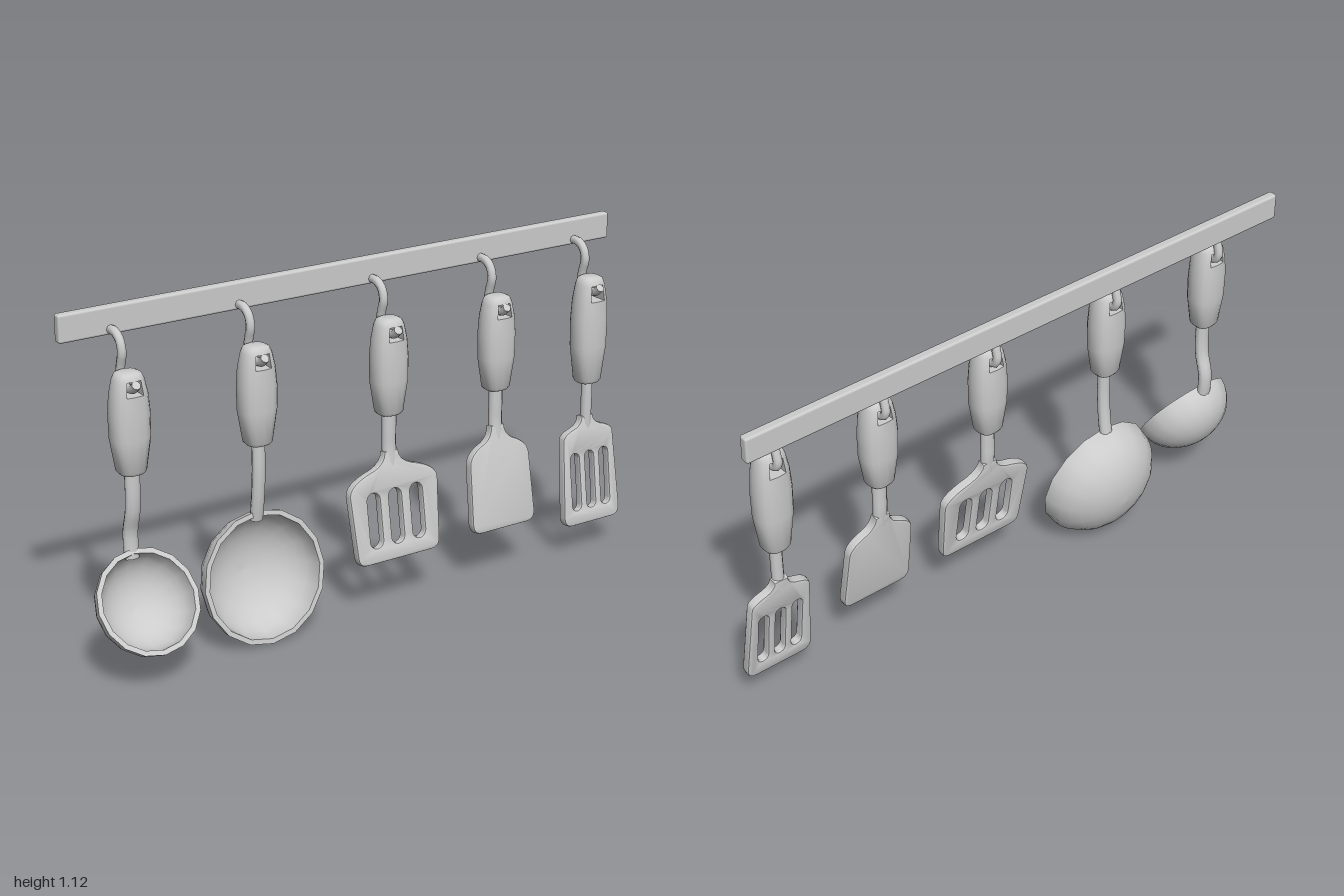
import * as THREE from 'three';
import { RoundedBoxGeometry } from 'three/addons/geometries/RoundedBoxGeometry.js';
import { toCreasedNormals } from 'three/addons/utils/BufferGeometryUtils.js';

const material = new THREE.MeshStandardMaterial({ color: 0xcccccc });
const HANDLE_TOP = 0.947, HANDLE_Z = -0.024;

function part(name, geometry, parent) {
  const mesh = new THREE.Mesh(geometry, material);
  mesh.name = name;
  parent.add(mesh);
  return mesh;
}

// smooth curve in the x = 0 plane from [y, z] pairs
const sideCurve = (pts) => new THREE.CatmullRomCurve3(pts.map(([y, z]) => new THREE.Vector3(0, y, z)));

// grip lofted from rounded sections, with a hanging hole through the top
function handleGeometry(bottom) {
  const N = 16, HOLE_ROW = 4;
  const rows = [ // height fraction, half width, half depth
    [0, 0.036, 0.033], [0.03, 0.044, 0.039], [0.35, 0.06, 0.047], [0.6, 0.061, 0.048],
    [0.785, 0.056, 0.046], [0.93, 0.046, 0.041], [0.985, 0.038, 0.035], [1, 0.028, 0.026],
  ];
  const pos = [], index = [];
  const power = (v) => Math.sign(v) * Math.abs(v) ** 0.75;
  const yAt = (t) => bottom + t * (HANDLE_TOP - bottom);
  for (const [t, w, d] of rows)
    for (let k = 0; k < N; k++) {
      const a = (k / N) * Math.PI * 2;
      pos.push(w * power(Math.cos(a)), yAt(t), HANDLE_Z + d * power(Math.sin(a)));
    }
  const id = (r, k) => r * N + (k % N);
  const quad = (a, b, c, d) => index.push(a, b, c, a, c, d);
  for (let r = 0; r < rows.length - 1; r++)
    for (let k = 0; k < N; k++) {
      if (r === HOLE_ROW && [3, 4, 11, 12].includes(k)) continue;
      quad(id(r, k), id(r + 1, k), id(r + 1, k + 1), id(r, k + 1));
    }
  // tunnel walls
  const loop = [[4, 3], [4, 4], [4, 5], [5, 5], [5, 4], [5, 3]];
  loop.forEach(([r, k], i) => {
    const [r2, k2] = loop[(i + 1) % loop.length];
    quad(id(r, k), id(r, N - k), id(r2, N - k2), id(r2, k2));
  });
  // end caps
  const low = pos.length / 3, top = rows.length - 1;
  pos.push(0, yAt(0), HANDLE_Z, 0, yAt(1), HANDLE_Z);
  for (let k = 0; k < N; k++) {
    index.push(low, id(0, k), id(0, k + 1));
    index.push(low + 1, id(top, k + 1), id(top, k));
  }
  const g = new THREE.BufferGeometry();
  g.setAttribute('position', new THREE.Float32BufferAttribute(pos, 3));
  g.setIndex(index);
  return toCreasedNormals(g, 0.8);
}

// S-shaped hook from the rail through the handle hole
function addHook(parent) {
  const curve = sideCurve([[1.047, -0.125], [1.046, -0.09], [1.028, -0.063], [0.995, -0.053],
    [0.955, -0.064], [0.92, -0.07], [0.9, -0.058], [0.896, -0.02], [0.903, 0.01], [0.919, 0.028]]);
  part('hook', new THREE.TubeGeometry(curve, 28, 0.014, 8), parent);
  const tip = part('hookTip', new THREE.CircleGeometry(0.014, 8), parent);
  tip.position.copy(curve.getPoint(1));
  tip.quaternion.setFromUnitVectors(new THREE.Vector3(0, 0, 1), curve.getTangent(1));
}

// flattened rod following [y, z] points
function addShaft(parent, halfWidth, pts) {
  const r = 0.0175;
  const g = new THREE.TubeGeometry(sideCurve(pts), 14, r, 10);
  g.scale(halfWidth / r, 1, 1);
  part('shaft', g, parent);
}

// hollow bowl with a flat rim, opening tilted toward the front
function addBowl(parent, { radius, depth, y, z, tilt }) {
  const profile = [], steps = 8, wall = 0.016;
  const arc = (r, d, i) => {
    const a = (i / steps) * Math.PI / 2;
    return new THREE.Vector2(i === 0 ? 0 : r * Math.sin(a), -d * Math.cos(a));
  };
  for (let i = 0; i <= steps; i++) profile.push(arc(radius, depth, i));
  profile.push(arc(radius, depth, steps)); // doubled points keep the rim sharp
  profile.push(arc(radius - wall, depth - wall, steps));
  for (let i = steps; i >= 0; i--) profile.push(arc(radius - wall, depth - wall, i));
  const bowl = part('bowl', new THREE.LatheGeometry(profile, 16), parent);
  bowl.position.set(0, y, z);
  bowl.rotation.x = tilt;
}

// turner blade with curved shoulders and optional slots
function addBlade(parent, { neck, top, bottom, shoulder, length, y, z, tilt, slots }) {
  const side = new THREE.Path();
  const r = 0.035;
  side.moveTo(neck, 0.015);
  side.quadraticCurveTo(neck, -0.35 * shoulder, (neck + top) / 2, -0.55 * shoulder);
  side.quadraticCurveTo(top, -0.85 * shoulder, top, -1.3 * shoulder);
  side.lineTo(bottom, r - length);
  side.quadraticCurveTo(bottom, -length, bottom - r, -length);
  const half = side.getPoints(5);
  const mirrored = half.map((p) => new THREE.Vector2(-p.x, p.y)).reverse();
  const shape = new THREE.Shape([...half, ...mirrored].reverse());
  if (slots) {
    const { spacing, width, from, to } = slots, s = width / 2;
    for (const x of [-spacing, 0, spacing]) {
      const hole = new THREE.Path();
      hole.absarc(x, to - s, s, 0, Math.PI, false);
      hole.absarc(x, from + s, s, Math.PI, Math.PI * 2, false);
      shape.holes.push(hole);
    }
  }
  const bevel = 0.008, thickness = 0.032;
  const g = new THREE.ExtrudeGeometry(shape, {
    depth: thickness - 2 * bevel, bevelEnabled: true, bevelSize: bevel, bevelThickness: bevel,
    bevelOffset: -bevel, bevelSegments: 2, curveSegments: 5,
  });
  g.translate(0, 0, bevel - thickness / 2);
  const blade = part('blade', toCreasedNormals(g, 0.6), parent);
  blade.position.set(0, y, z);
  blade.rotation.x = -tilt;
}

const straight = (y, z) => [[0.67, -0.022], [0.58, -0.022], [0.53, -0.022], [y, z]];

const utensils = [
  { name: 'smallLadle', x: -0.831, handle: 0.637, width: 0.025,
    shaft: [[0.67, -0.022], [0.56, -0.022], [0.51, -0.028], [0.45, -0.046], [0.41, -0.048], [0.36, -0.044]],
    bowl: { radius: 0.164, depth: 0.137, y: 0.257, z: 0.055, tilt: 0.985 } },
  { name: 'largeLadle', x: -0.406, handle: 0.637, width: 0.022,
    shaft: [[0.67, -0.022], [0.55, -0.022], [0.46, -0.03], [0.385, -0.042]],
    bowl: { radius: 0.211, depth: 0.157, y: 0.209, z: 0.008, tilt: 1.38 } },
  { name: 'wideSlottedTurner', x: 0.066, handle: 0.637, width: 0.025, shaft: straight(0.47, -0.016),
    blade: { neck: 0.026, top: 0.166, bottom: 0.155, shoulder: 0.08, length: 0.335, y: 0.5, z: -0.02, tilt: 0.15,
      slots: { spacing: 0.08, width: 0.045, from: -0.285, to: -0.108 } } },
  { name: 'plainTurner', x: 0.477, handle: 0.637, width: 0.025, shaft: straight(0.47, -0.016),
    blade: { neck: 0.026, top: 0.118, bottom: 0.124, shoulder: 0.08, length: 0.33, y: 0.5, z: -0.02, tilt: 0.15 } },
  { name: 'narrowSlottedTurner', x: 0.851, handle: 0.588, width: 0.02, shaft: straight(0.43, -0.023),
    blade: { neck: 0.024, top: 0.104, bottom: 0.116, shoulder: 0.045, length: 0.353, y: 0.455, z: -0.026, tilt: 0.13,
      slots: { spacing: 0.06, width: 0.034, from: -0.302, to: -0.108 } } },
];

export function createModel() {
  const model = new THREE.Group();
  model.name = 'utensilRack';

  const rail = part('rail', new RoundedBoxGeometry(1.99, 0.086, 0.031, 2, 0.008), model);
  rail.position.set(0, 1.073, -0.131);

  for (const u of utensils) {
    const group = new THREE.Group();
    group.name = u.name;
    group.position.x = u.x;
    part('handle', handleGeometry(u.handle), group);
    addHook(group);
    addShaft(group, u.width, u.shaft);
    if (u.bowl) addBowl(group, u.bowl);
    if (u.blade) addBlade(group, u.blade);
    model.add(group);
  }
  return model;
}
